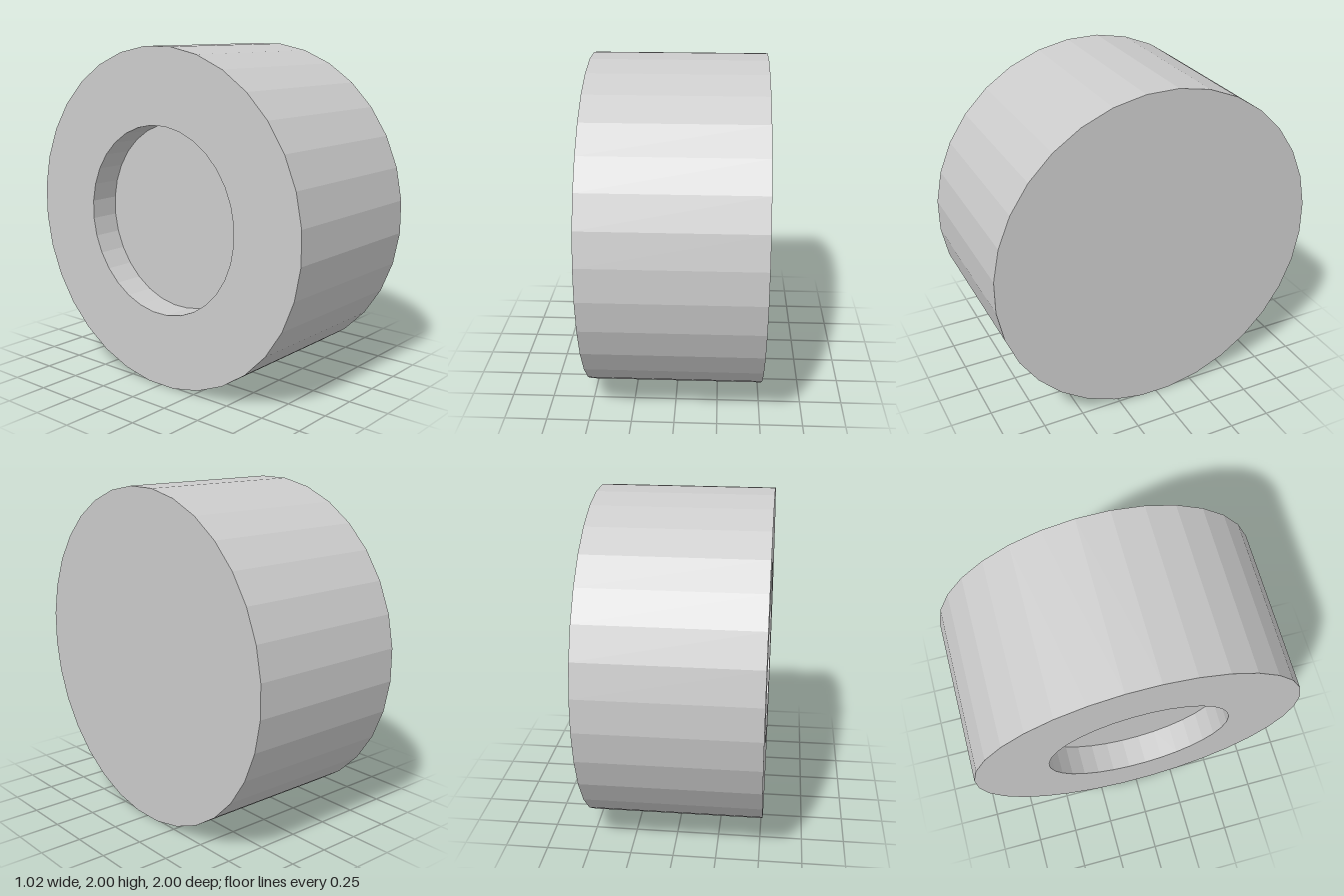
import * as THREE from 'three';

const SIDES = 32;
const HALF_WIDTH = 0.512;
const RADIUS = 1 / Math.cos(Math.PI / SIDES); // flats sit at distance 1
const RECESS_RADIUS = 0.558;
const RECESS_DEPTH = 0.183;

export function createModel() {
  const group = new THREE.Group();
  group.name = 'wheel';

  const material = new THREE.MeshStandardMaterial({ color: 0xcccccc, flatShading: true });

  // Closed outer face, tread, recessed face with hub pocket
  const profile = [
    [0, -HALF_WIDTH],
    [RADIUS, -HALF_WIDTH],
    [RADIUS, HALF_WIDTH],
    [RECESS_RADIUS, HALF_WIDTH],
    [RECESS_RADIUS, HALF_WIDTH - RECESS_DEPTH],
    [0, HALF_WIDTH - RECESS_DEPTH],
  ].map(([r, y]) => new THREE.Vector2(r, y));

  // Half-step start puts a flat at the bottom; the pocket opens towards -x
  const geometry = new THREE.LatheGeometry(profile, SIDES, Math.PI / SIDES);
  geometry.rotateZ(Math.PI / 2);
  geometry.translate(0, 1, 0);

  const body = new THREE.Mesh(geometry, material);
  body.name = 'wheelBody';
  group.add(body);
  return group;
}
